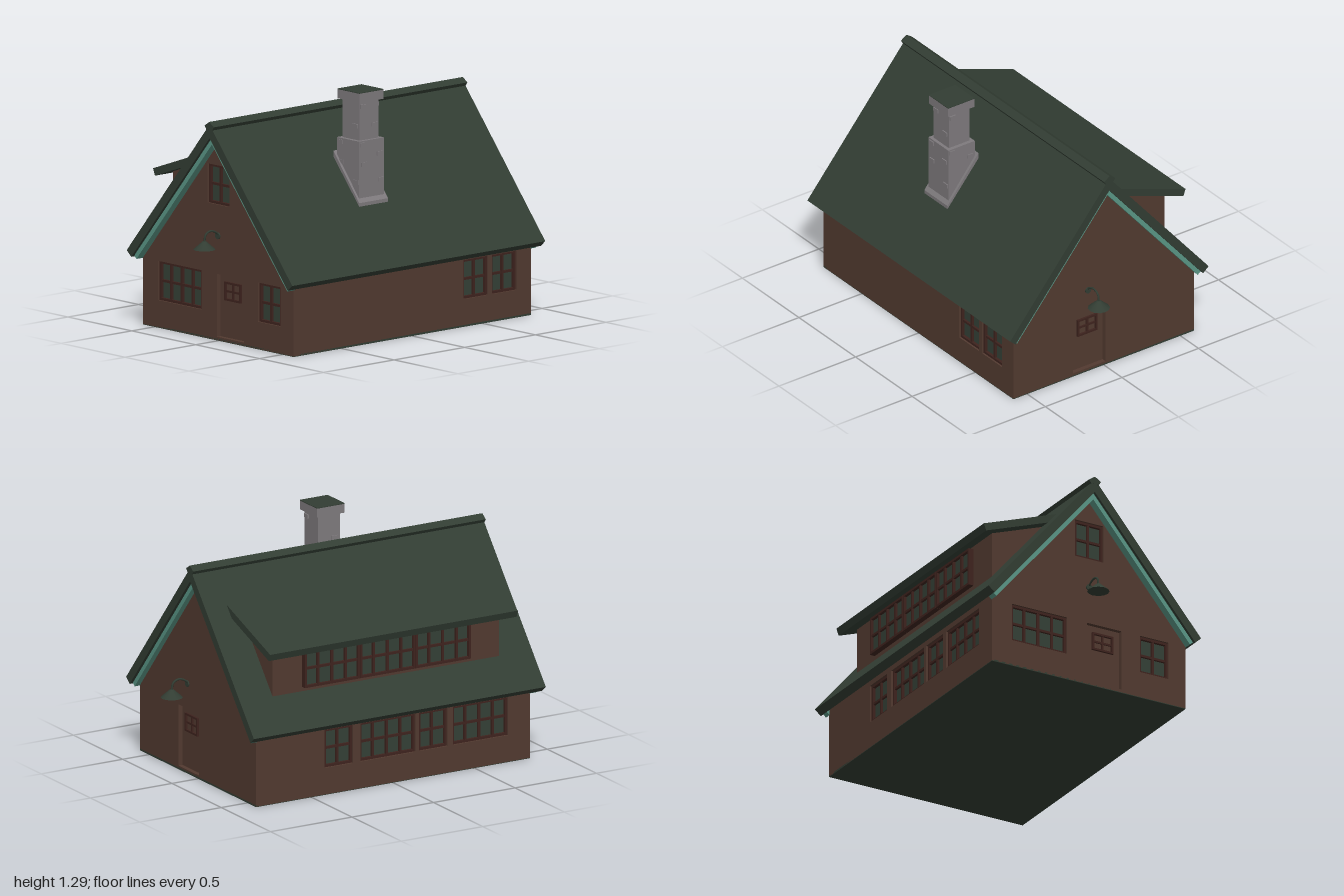
import * as THREE from 'three';

const mat = (name, color) => {
  const m = new THREE.MeshStandardMaterial({ color });
  m.name = name;
  return m;
};

export function createModel() {
  const house = new THREE.Group();
  house.name = 'house';
  const brown = mat('wallBrown', 0x523a30);
  const frameBrown = mat('frameBrown', 0x3e231e);
  const green = mat('roofGreen', 0x323d33);
  const glassGreen = mat('glassGreen', 0x344036);
  const teal = mat('trimTeal', 0x5a9686);
  const stone = mat('chimneyStone', 0x7e7a7d);

  const add = (parent, name, geo, material, x = 0, y = 0, z = 0) => {
    const m = new THREE.Mesh(geo, material);
    m.name = name;
    m.position.set(x, y, z);
    parent.add(m);
    return m;
  };
  const box = (parent, name, material, w, h, d, x, y, z) =>
    add(parent, name, new THREE.BoxGeometry(w, h, d), material, x, y, z);
  const toShape = (pts) => new THREE.Shape(pts.map(([x, y]) => new THREE.Vector2(x, y)));
  // Extrude an x-y outline from z0 to z1
  const prism = (parent, name, material, pts, z0, z1) =>
    add(parent, name, new THREE.ExtrudeGeometry(toShape(pts), { depth: z1 - z0, bevelEnabled: false }), material, 0, 0, z0);

  // Main roof pitch
  const slope = 1.185;
  const len = Math.hypot(slope, 1);
  const nx = slope / len, ny = 1 / len;
  // Inverted V section: outer apex height, half width, thickness
  const chevron = (apex, half, t) => {
    const ye = apex - slope * half;
    const xi = half - nx * t, yi = ye - ny * t;
    return [[-half, ye], [-xi, yi], [0, apex - t / ny], [xi, yi], [half, ye], [0, apex]];
  };

  // Paned window: front of the frame at local z = 0
  const addWindow = (parent, cx, cy, w, h, cols, z, depth = 0.04, bar = 0.013) => {
    const win = new THREE.Group();
    win.name = 'window';
    win.position.set(cx, cy, z);
    parent.add(win);
    box(win, 'glass', glassGreen, w - bar, h - bar, depth - 0.016, 0, 0, -0.016 - (depth - 0.016) / 2);
    for (const s of [-1, 1]) {
      box(win, 'frameSide', frameBrown, bar, h, depth, s * (w - bar) / 2, 0, -depth / 2);
      box(win, 'frameRail', frameBrown, w - 2 * bar, bar, depth, 0, s * (h - bar) / 2, -depth / 2);
    }
    box(win, 'crossBar', frameBrown, w - 2 * bar, bar, 0.014, 0, 0, -0.011);
    for (let i = 1; i < cols; i++)
      box(win, 'mullion', frameBrown, bar, h - 2 * bar, 0.014, -w / 2 + (w * i) / cols, 0, -0.0095);
  };

  // Wall with openings [u0, u1, y0, y1, columns]; columns = 0 makes a door
  const addWall = (name, outline, openings, rotY, x, z) => {
    const g = new THREE.Group();
    g.name = name;
    g.rotation.y = rotY;
    g.position.set(x, 0, z);
    house.add(g);
    const shape = toShape(outline);
    for (const [a, b, c, d] of openings)
      shape.holes.push(new THREE.Path([[a, c], [a, d], [b, d], [b, c]].map((p) => new THREE.Vector2(...p))));
    add(g, 'wall', new THREE.ExtrudeGeometry(shape, { depth: 0.05, bevelEnabled: false }), brown, 0, 0, -0.05);
    for (const [a, b, c, d, cols] of openings) {
      const cx = (a + b) / 2, cy = (c + d) / 2;
      if (cols) addWindow(g, cx, cy, b - a, d - c, cols, -0.01);
      else {
        box(g, 'door', brown, b - a, d - c, 0.03, cx, cy, -0.04);
        addWindow(g, cx, 0.27, 0.128, 0.1, 2, -0.014, 0.02, 0.011);
      }
    }
    return g;
  };

  // Walls and floor
  const W = 0.59, L = 0.84, under = 1.092;
  const gable = [[-W, 0.003], [W, 0.003], [W, under - slope * W], [0, under], [-W, under - slope * W]];
  const side = [[-L + 0.04, 0.003], [L - 0.04, 0.003], [L - 0.04, 0.393], [-L + 0.04, 0.393]];
  const Y = [0.148, 0.358];
  addWall('frontWall', gable, [
    [-0.47, -0.132, ...Y, 4], [0.312, 0.486, ...Y, 2], [-0.083, 0.089, 0.728, 0.938, 2], [-0.01, 0.2, 0.02, 0.357, 0],
  ], 0, 0, L);
  addWall('backWall', gable, [[-0.2, 0.01, 0.02, 0.357, 0]], Math.PI, 0, -L);
  addWall('leftWall', side, [[0.361, 0.537, ...Y, 2], [0.564, 0.74, ...Y, 2]], Math.PI / 2, W, 0);
  addWall('rightWall', side, [
    [-0.42, -0.246, ...Y, 2], [-0.2, 0.138, ...Y, 4], [0.16, 0.334, ...Y, 2], [0.367, 0.705, ...Y, 4],
  ], -Math.PI / 2, -W, 0);
  box(house, 'floor', green, 2 * W, 0.01, 2 * L, 0, 0.005, 0);

  // Main roof, ridge cap and gable trim
  prism(house, 'roof', green, chevron(1.165, 0.648, 0.047), -0.889, 0.902);
  prism(house, 'ridgeCap', green,
    [[0, 1.18], [-0.036, 1.156], [-0.02, 1.132], [0, 1.145], [0.02, 1.132], [0.036, 1.156]], -0.891, 0.904);
  prism(house, 'frontTrim', teal, chevron(1.096, 0.61, 0.026), L - 0.005, 0.885);
  prism(house, 'backTrim', teal, chevron(1.096, 0.61, 0.026), -0.872, -L + 0.005);

  // Dormer with its shed roof and window strip
  prism(house, 'dormerWalls', brown, [[-0.508, 0.5], [-0.2, 0.87], [-0.2, 0.925], [-0.508, 0.82]], -0.69, 0.7);
  prism(house, 'dormerRoof', green, [[-0.595, 0.825], [-0.581, 0.787], [-0.14, 0.945], [-0.14, 0.988]], -0.757, 0.763);
  const strip = new THREE.Group();
  strip.name = 'dormerWindows';
  strip.rotation.y = -Math.PI / 2;
  strip.position.set(-0.538, 0, 0);
  house.add(strip);
  for (const u of [-0.34, 0, 0.34]) addWindow(strip, u, 0.692, 0.338, 0.21, 4, 0);

  // Chimney: stepped shaft, cap and sloped base
  const chimney = new THREE.Group();
  chimney.name = 'chimney';
  chimney.position.set(0.297, 0, 0.102);
  house.add(chimney);
  box(chimney, 'lowerShaft', stone, 0.172, 0.335, 0.176, 0, 0.8675, 0);
  box(chimney, 'upperShaft', stone, 0.136, 0.24, 0.134, 0, 1.13, 0);
  box(chimney, 'cap', stone, 0.172, 0.049, 0.17, 0, 1.2665, 0);
  box(chimney, 'capTop', green, 0.172, 0.004, 0.17, 0, 1.2925, 0);
  prism(chimney, 'base', stone, [[-0.1, 0.88], [0.103, 0.64], [0.103, 0.71], [-0.1, 0.962]], -0.102, 0.102);
  // Raised stones: [height, offset along the face, on upper shaft]
  const stones = [[1.215, -0.045, 1], [1.11, 0.035, 1], [1.015, -0.06, 0], [0.955, 0.055, 0], [0.91, -0.055, 0], [0.815, 0.065, 0]];
  for (let f = 0; f < 4; f++) {
    const face = new THREE.Group();
    face.name = 'raisedStones';
    face.rotation.y = (f * Math.PI) / 2;
    chimney.add(face);
    stones.forEach(([y, u, upper], i) => {
      if ((i + f) % 3 === 0 && f !== 1) return;
      box(face, 'stone', stone, 0.038, 0.022, 0.012, u, y, upper ? 0.068 : 0.086);
    });
  }

  // Gooseneck lamps over both doors
  const addLamp = (name, x, y, z, rotY) => {
    const g = new THREE.Group();
    g.name = name;
    g.position.set(x, y, z);
    g.rotation.y = rotY;
    house.add(g);
    const path = new THREE.CatmullRomCurve3(
      [[0, 0.06, -0.01], [0.0, 0.085, 0.025], [0, 0.092, 0.06], [0, 0.075, 0.09], [0, 0.038, 0.098]]
        .map((p) => new THREE.Vector3(...p)));
    add(g, 'lampArm', new THREE.TubeGeometry(path, 14, 0.006, 6), green);
    add(g, 'lampShade', new THREE.CylinderGeometry(0.01, 0.059, 0.043, 12), green, 0, 0.0215, 0.098);
    const plate = add(g, 'lampPlate', new THREE.CylinderGeometry(0.018, 0.018, 0.008, 10), green, 0, 0.06, 0.003);
    plate.rotation.x = Math.PI / 2;
  };
  addLamp('frontLamp', 0, 0.502, L, 0);
  addLamp('backLamp', 0.105, 0.436, -L, Math.PI);

  return house;
}
